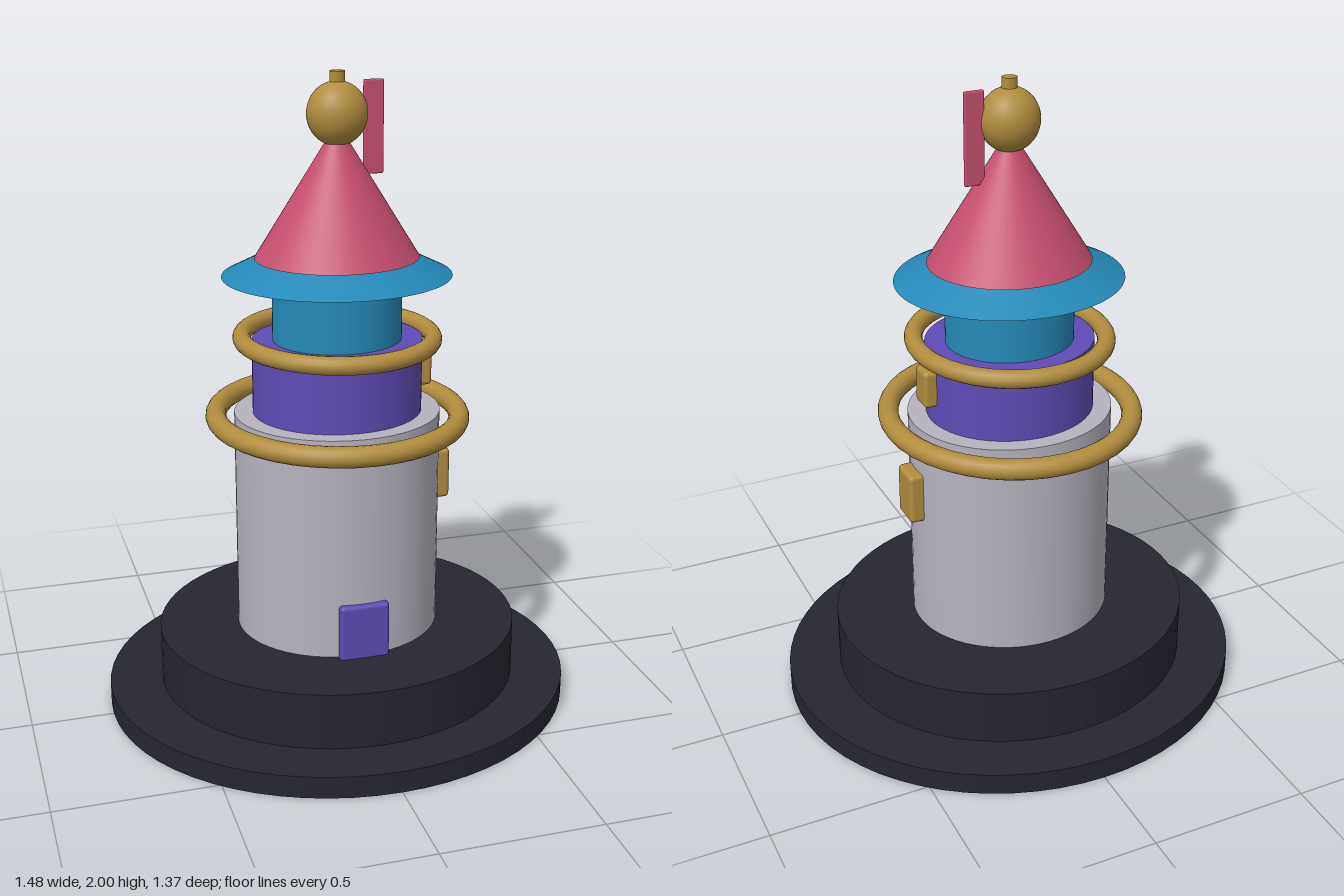
import * as THREE from 'three';
import { RoundedBoxGeometry } from 'three/addons/geometries/RoundedBoxGeometry.js';

const Z = 0.925; // the round parts are slightly flattened front to back

function paint(name, color) {
  const m = new THREE.MeshStandardMaterial({ color });
  m.name = name;
  return m;
}

export function createModel() {
  const stone = paint('dark stone', 0x262632);
  const wall = paint('pale grey', 0xb6b3be);
  const purple = paint('purple', 0x5f4bb6);
  const gold = paint('gold', 0xb08d3e);
  const blue = paint('blue', 0x2589b9);
  const red = paint('rose red', 0xc64f70);

  const model = new THREE.Group();
  model.name = 'tower';

  function add(name, geometry, material, x = 0, y = 0, z = 0) {
    const mesh = new THREE.Mesh(geometry, material);
    mesh.name = name;
    mesh.position.set(x, y, z);
    model.add(mesh);
    return mesh;
  }

  // Elliptical drum or cone standing between two heights
  function drum(name, material, bottomRadius, topRadius, y0, y1) {
    const g = new THREE.CylinderGeometry(topRadius, bottomRadius, y1 - y0, 64);
    g.scale(1, 1, Z);
    return add(name, g, material, 0, (y0 + y1) / 2, 0);
  }

  // Horizontal railing ring
  function ring(name, rx, rz, tube, y) {
    const g = new THREE.TorusGeometry(rx, tube, 16, 40);
    g.rotateX(Math.PI / 2);
    g.scale(1, 1, (rz + tube) / (rx + tube));
    return add(name, g, gold, 0, y, 0);
  }

  // Stepped base
  drum('baseSlab', stone, 0.742, 0.742, 0, 0.07);
  drum('baseStep', stone, 0.575, 0.575, 0.07, 0.25);

  // Stacked tower storeys
  drum('lowerTower', wall, 0.322, 0.322, 0.25, 0.96);
  drum('middleTower', purple, 0.264, 0.264, 0.96, 1.19);
  drum('upperTower', blue, 0.2, 0.2, 1.19, 1.395);

  // Railings
  ring('lowerRailing', 0.378, 0.396, 0.032, 0.945);
  ring('upperRailing', 0.293, 0.308, 0.028, 1.194);

  // Roof: flared eave, cone and finial
  drum('eave', blue, 0.353, 0.24, 1.39, 1.446);
  drum('roof', red, 0.252, 0.001, 1.445, 1.85);
  const ball = add('finialBall', new THREE.SphereGeometry(0.092, 32, 24), gold, 0, 1.876, 0);
  ball.scale.set(1, 1.04, Z);
  drum('finialTip', gold, 0.023, 0.023, 1.95, 2.0);

  // Flag
  add('flag', new RoundedBoxGeometry(0.063, 0.28, 0.013, 2, 0.005), red, 0.112, 1.832, 0);

  // Door on the front, windows on the left side
  add('door', new RoundedBoxGeometry(0.156, 0.2, 0.04, 3, 0.012), purple, 0, 0.325, 0.294);
  add('lowerWindow', new RoundedBoxGeometry(0.06, 0.165, 0.105, 3, 0.014), gold, 0.331, 0.722, 0);
  add('upperWindow', new RoundedBoxGeometry(0.06, 0.12, 0.08, 3, 0.014), gold, 0.269, 1.081, 0);

  return model;
}
